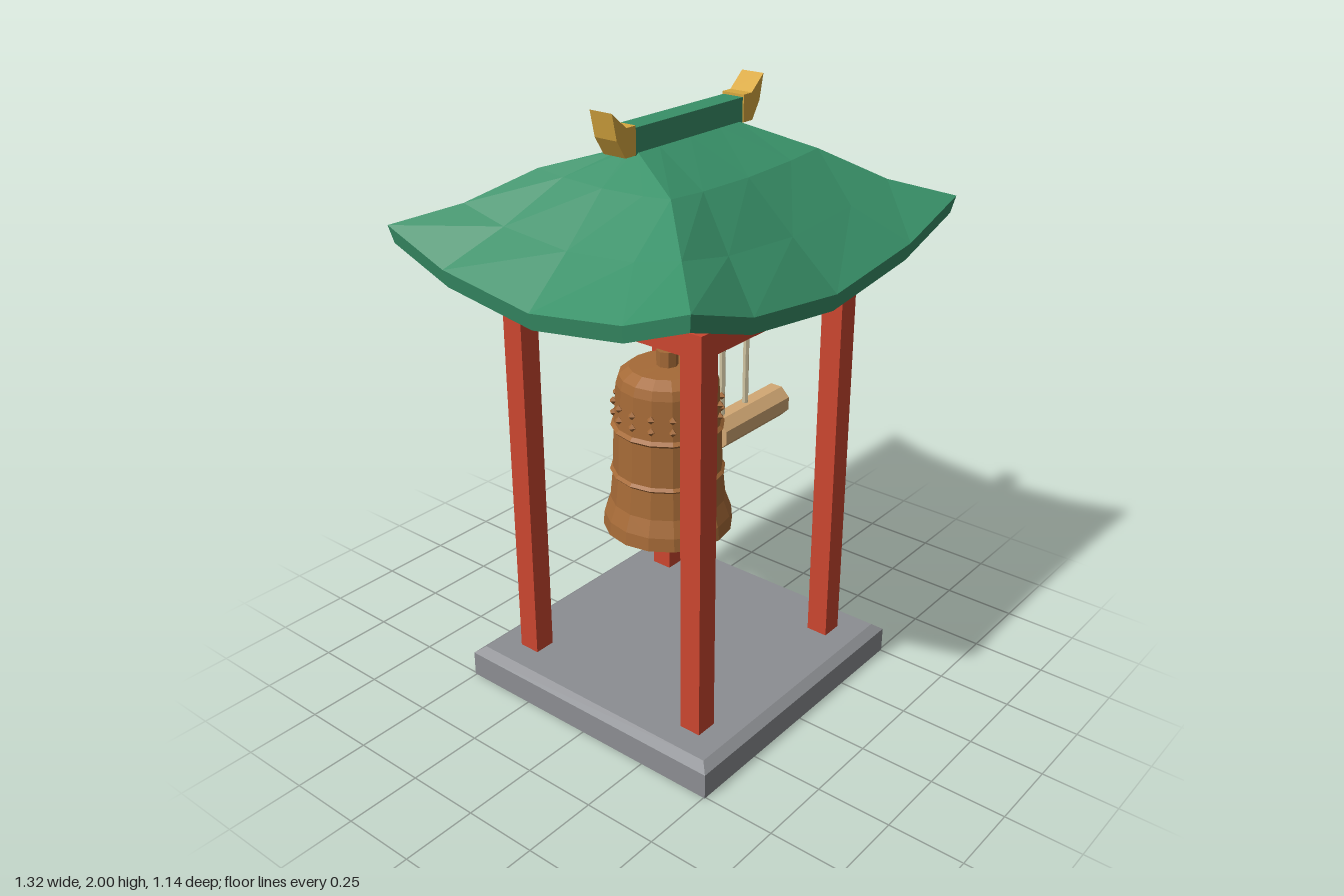
import * as THREE from 'three';

const paint = (color, side = THREE.FrontSide) =>
  new THREE.MeshStandardMaterial({ color, flatShading: true, side });

export function createModel() {
  const root = new THREE.Group();
  const red = paint(0xcb4630), green = paint(0x389068), gold = paint(0xd8a840);
  const stone = paint(0x8c8e92), wood = paint(0xd2a874), rope = paint(0xcfc3a0);
  const bronze = paint(0xa56a37), bronzeOpen = paint(0xa56a37, THREE.DoubleSide);

  const add = (name, geometry, material, x = 0, y = 0, z = 0, parent = root) => {
    const mesh = new THREE.Mesh(geometry, material);
    mesh.name = name;
    mesh.position.set(x, y, z);
    parent.add(mesh);
    return mesh;
  };
  const box = (w, h, d) => new THREE.BoxGeometry(w, h, d);

  // Stone plinth with a chamfered top
  add('plinth', box(1.01, 0.087, 1.01), stone, 0, 0.0435, 0);
  const chamfer = new THREE.CylinderGeometry(0.475 * Math.SQRT2, 0.505 * Math.SQRT2, 0.023, 4);
  add('plinthChamfer', chamfer.rotateY(Math.PI / 4), stone, 0, 0.0985, 0);

  // Posts and top frame
  const P = 0.352, T = 0.075;
  for (const s of [-1, 1]) {
    for (const sz of [-1, 1]) add('post', box(T, 1.34, T), red, s * P, 0.78, sz * P);
    add('sideBeam', box(T, T, 2 * P - T), red, s * P, 1.4125, 0);
    add('crossBeam', box(2 * P - T, T, T), red, 0, 1.4125, s * P);
  }
  add('hangingBeam', box(2 * P - T, T, T), red, 0, 1.4125, 0);

  // Roof: nested rings [half width, half depth, corner height, eave sag],
  // from the ridge out to the eave, down the fascia and in to the soffit centre
  const levels = [
    [0.235, 0.035, 1.87, 0],
    [0.35, 0.25, 1.80, 0.015],
    [0.50, 0.41, 1.70, 0.06],
    [0.658, 0.568, 1.64, 0.137],
    [0.647, 0.557, 1.585, 0.135],
    [0, 0, 1.45, 0],
  ];
  const ring = ([w, d, y, sag]) => {
    const corners = [[w, d], [w, -d], [-w, -d], [-w, d]];
    const points = [];
    corners.forEach((a, i) => {
      const b = corners[(i + 1) % 4];
      for (const u of [-1, -0.6, 0, 0.6]) {
        const t = (u + 1) / 2;
        points.push([a[0] + (b[0] - a[0]) * t, y - sag * (1 - u * u), a[1] + (b[1] - a[1]) * t]);
      }
    });
    return points;
  };
  const rings = levels.map(ring);
  const positions = [];
  for (let i = 0; i < rings.length - 1; i++) {
    for (let j = 0; j < 16; j++) {
      const k = (j + 1) % 16;
      const a = rings[i + 1][j], b = rings[i + 1][k], c = rings[i][k], d = rings[i][j];
      positions.push(...a, ...c, ...d);
      if (i < rings.length - 2) positions.push(...a, ...b, ...c);
    }
  }
  const roof = new THREE.BufferGeometry();
  roof.setAttribute('position', new THREE.Float32BufferAttribute(positions, 3));
  roof.computeVertexNormals();
  add('roof', roof, green);
  add('ridge', box(0.5, 0.08, 0.074), green, 0, 1.902, 0);

  // Upswept ridge ends
  for (const s of [-1, 1]) {
    const outline = [[0.25, 1.865], [0.295, 1.865], [0.33, 1.92], [0.348, 2.0], [0.29, 1.95], [0.25, 1.95]];
    const shape = new THREE.Shape(outline.map(([x, y]) => new THREE.Vector2(s * x, y)));
    const horn = new THREE.ExtrudeGeometry(shape, { depth: 0.082, bevelEnabled: false });
    add('ridgeEnd', horn, gold, 0, 0, -0.041);
  }

  // Bell: hollow body, raised bands, studs and crown
  const bell = new THREE.Group();
  bell.name = 'bell';
  bell.position.x = -0.068;
  root.add(bell);
  const profile = [
    [0, 1.11], [0.11, 1.11], [0.145, 0.95], [0.15, 0.8], [0.185, 0.6],
    [0.212, 0.6], [0.208, 0.645], [0.188, 0.7], [0.178, 0.8], [0.173, 0.955],
    [0.164, 1.1], [0.155, 1.13], [0.122, 1.155], [0, 1.158],
  ].map(([r, y]) => new THREE.Vector2(r, y));
  add('bellBody', new THREE.LatheGeometry(profile, 16), bronzeOpen, 0, 0, 0, bell);
  for (const [r, y] of [[0.175, 0.8], [0.171, 0.957]]) {
    const band = new THREE.TorusGeometry(r, 0.012, 4, 16).rotateX(Math.PI / 2);
    add('bellBand', band, bronze, 0, y, 0, bell);
  }
  for (const y of [1.0, 1.04]) {
    for (let i = 0; i < 16; i++) {
      const a = (i / 16) * Math.PI * 2;
      add('stud', new THREE.OctahedronGeometry(0.014), bronze,
        Math.sin(a) * 0.172, y, Math.cos(a) * 0.172, bell);
    }
  }
  add('bellCrown', new THREE.CylinderGeometry(0.035, 0.035, 0.06, 8), bronze, 0, 1.178, 0, bell);
  add('bellHanger', new THREE.CylinderGeometry(0.016, 0.016, 0.2, 6), rope, 0, 1.295, 0, bell);

  // Striking log on two ropes
  const log = new THREE.CylinderGeometry(0.0595, 0.0595, 0.357, 8);
  log.rotateY(Math.PI / 8).rotateZ(Math.PI / 2);
  add('strikingLog', log, wood, 0.349, 0.824, 0);
  for (const x of [0.215, 0.345]) {
    add('logRope', new THREE.CylinderGeometry(0.011, 0.011, 0.52, 6), rope, x, 1.125, 0);
  }
  return root;
}
